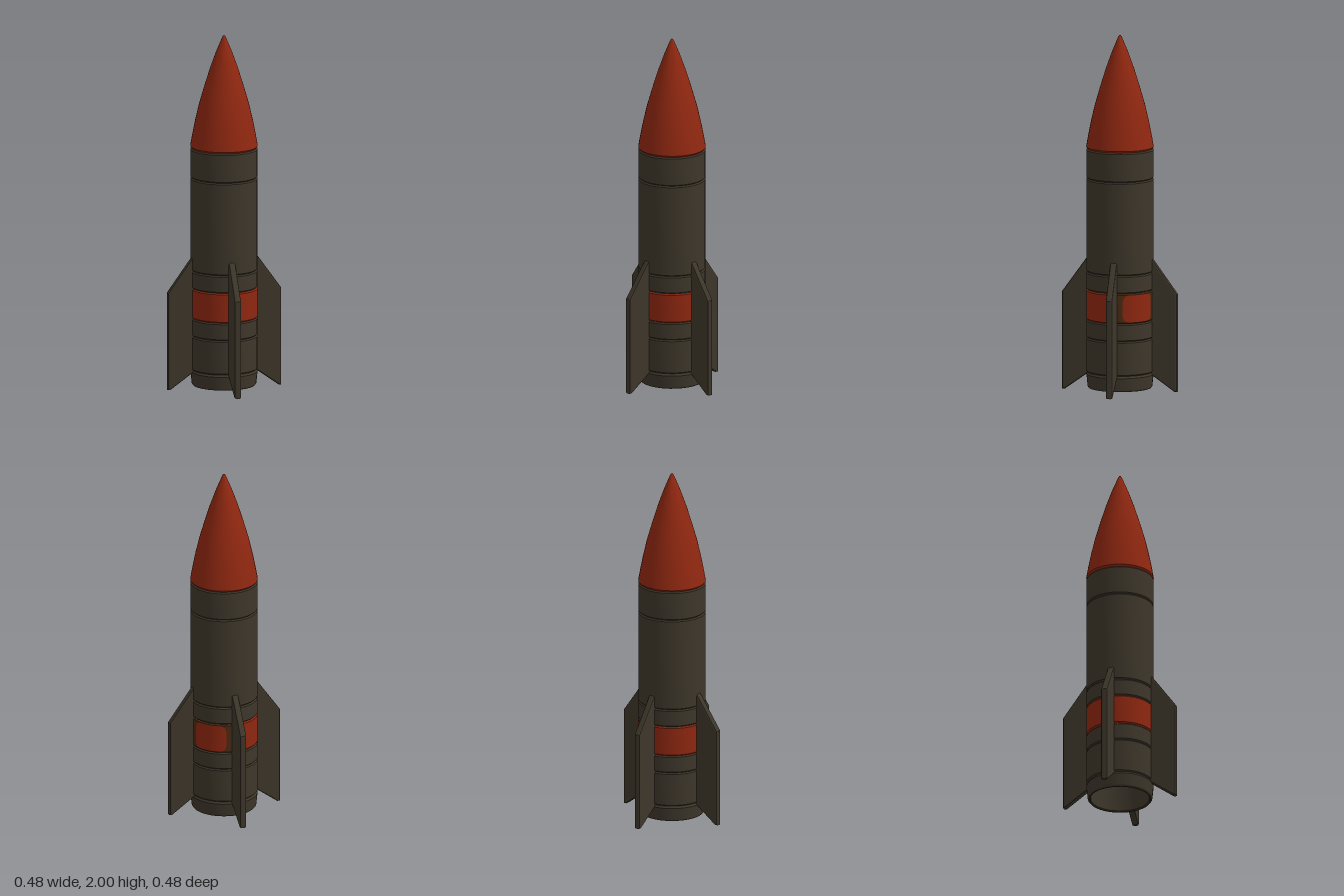
import * as THREE from 'three';
import { toCreasedNormals } from 'three/addons/utils/BufferGeometryUtils.js';

const R = 0.187;
const SIDES = 40;
const BEVEL = 0.007;

export function createModel() {
  const rocket = new THREE.Group();
  rocket.name = 'rocket';

  const paint = (name, color) => {
    const m = new THREE.MeshStandardMaterial({ color });
    m.name = name;
    return m;
  };
  const grey = paint('darkOliveGrey', 0x3d362a);
  const red = paint('rustRed', 0x8e2710);
  const brown = paint('wornBrown', 0x4a2a12);

  const add = (name, geometry, material) => {
    const mesh = new THREE.Mesh(geometry, material);
    mesh.name = name;
    rocket.add(mesh);
    return mesh;
  };
  const lathe = (points, start = 0, sweep = Math.PI * 2) => toCreasedNormals(
    new THREE.LatheGeometry(points.map(([r, y]) => new THREE.Vector2(r, y)), SIDES, start, sweep), 0.5);

  // Hull section with bevelled ends, so that neighbours meet in a V groove
  const ring = (y0, y1) => [[R - BEVEL, y0], [R, y0 + BEVEL], [R, y1 - BEVEL], [R - BEVEL, y1]];

  // Hollow tail ring
  add('tailNozzle', lathe([
    [0, 0.29], [0.163, 0.29], [0.163, 0.022], [0.168, 0.016], [0.174, 0.016],
    [0.18, 0.024], [R, 0.1 - BEVEL], [R - BEVEL, 0.105],
  ]), grey);

  // Hull sections
  [
    ['lowerHull', 0.105, 0.3],
    ['lowerCollar', 0.3, 0.4],
    ['upperCollar', 0.57, 0.67],
    ['mainHull', 0.67, 1.195],
    ['noseCollar', 1.195, 1.362],
  ].forEach(([name, y0, y1]) => add(name, lathe(ring(y0, y1)), grey));

  // Painted band: red on three sides, worn at the back
  const quarter = Math.PI / 2;
  add('redBand', lathe(ring(0.4, 0.57), -1.5 * quarter, 3 * quarter), red);
  add('wornBand', lathe(ring(0.4, 0.57), 1.5 * quarter, quarter), brown);

  // Rounded red panel bent around the back of the band
  const halfAngle = 0.52, halfHeight = 0.078, corner = 0.04;
  const panel = new THREE.PlaneGeometry(2, 2, 32, 1);
  const p = panel.attributes.position;
  for (let i = 0; i < p.count; i++) {
    const angle = p.getX(i) * halfAngle;
    const into = Math.max(0, (Math.abs(angle) - halfAngle) * R + corner);
    const h = halfHeight - corner + Math.sqrt(Math.max(0, corner * corner - into * into));
    const r = R + 0.003;
    p.setXYZ(i, r * Math.sin(angle), 0.485 + p.getY(i) * h, r * Math.cos(angle));
  }
  panel.computeVertexNormals();
  add('backPanel', panel, red).rotation.y = Math.PI;

  // Ogive nose
  add('noseCone', lathe([
    [0, 1.362], [R - BEVEL, 1.362], [R + 0.001, 1.372], [0.176, 1.44], [0.16, 1.52],
    [0.139, 1.61], [0.11, 1.71], [0.079, 1.81], [0.045, 1.905], [0.014, 1.98], [0.006, 1.996], [0, 2],
  ]), red);

  // Four diagonal fins
  const outline = new THREE.Shape([
    [0.17, 0.1], [0.31, 0.0], [0.325, 0.0], [0.325, 0.55], [0.185, 0.745], [0.17, 0.745],
  ].map(([x, y]) => new THREE.Vector2(x, y)));
  const fin = new THREE.ExtrudeGeometry(outline, {
    depth: 0.02, bevelThickness: 0.009, bevelSize: 0.009, bevelOffset: -0.009, bevelSegments: 2,
  });
  fin.translate(0, 0, -0.01);
  for (let i = 0; i < 4; i++) {
    add('fin' + (i + 1), fin, grey).rotation.y = Math.PI / 4 + i * quarter;
  }

  return rocket;
}
